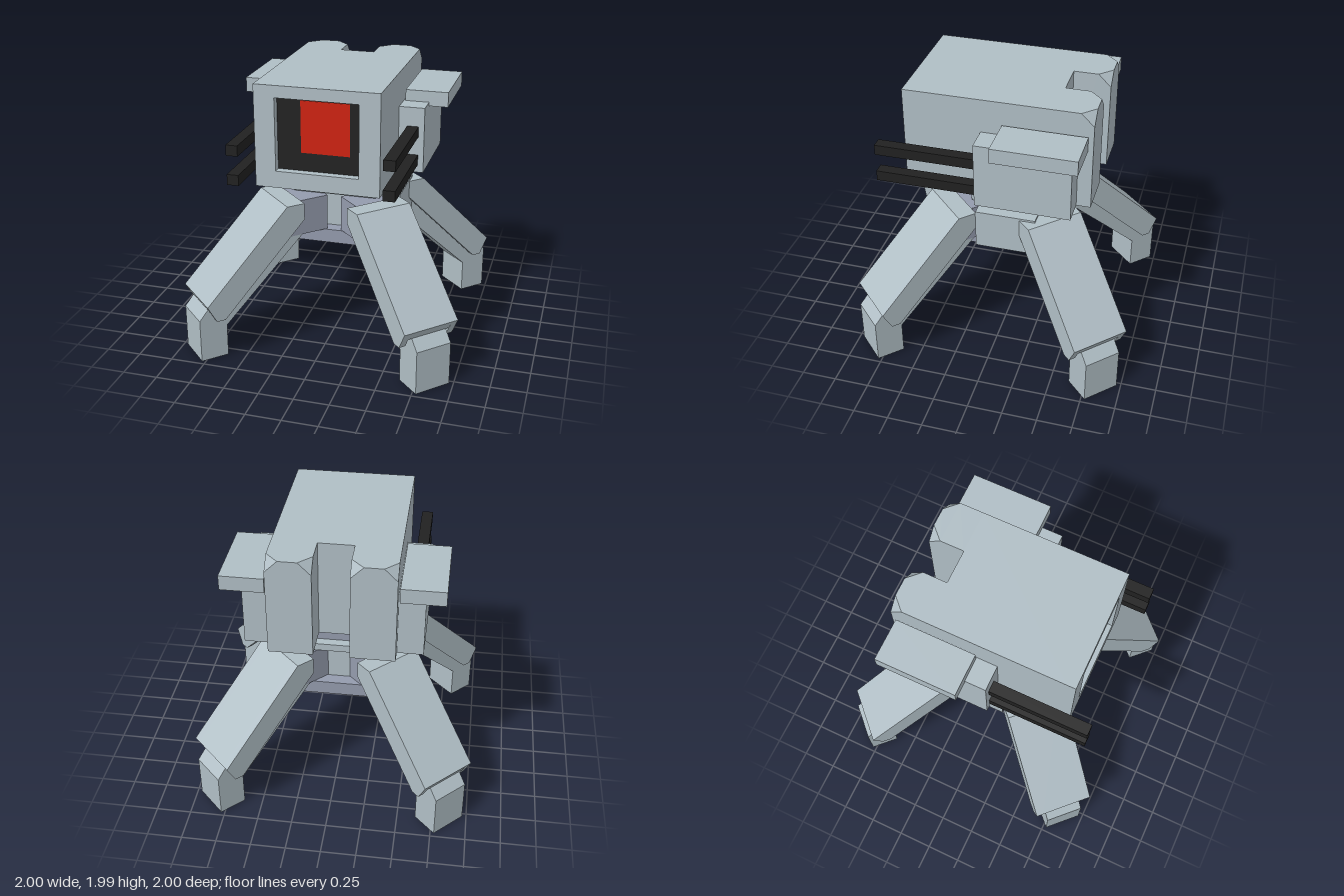
import * as THREE from 'three';
import { ConvexGeometry } from 'three/addons/geometries/ConvexGeometry.js';

const material = (name, color) => {
  const m = new THREE.MeshStandardMaterial({ color });
  m.name = name;
  return m;
};

export function createModel() {
  const armour = material('pale grey armour', 0xb0bec5);
  const joints = material('blue grey joints', 0x949bad);
  const black = material('black', 0x212121);
  const red = material('red lens', 0xd0210e);

  const model = new THREE.Group();
  model.name = 'walkerTurret';

  const add = (parent, name, geometry, mat) => {
    const mesh = new THREE.Mesh(geometry, mat);
    mesh.name = name;
    parent.add(mesh);
    return mesh;
  };

  // Box given by its lower and upper corners
  const box = (parent, name, mat, [x0, y0, z0], [x1, y1, z1]) => {
    const g = new THREE.BoxGeometry(x1 - x0, y1 - y0, z1 - z0);
    g.translate((x0 + x1) / 2, (y0 + y1) / 2, (z0 + z1) / 2);
    return add(parent, name, g, mat);
  };

  // Side profile (outward distance, height) extruded across z0..z1
  const slab = (parent, name, mat, points, z0, z1) => {
    const shape = new THREE.Shape(points.map(([x, y]) => new THREE.Vector2(x, y)));
    const g = new THREE.ExtrudeGeometry(shape, { depth: z1 - z0, bevelEnabled: false });
    g.translate(0, 0, z0);
    return add(parent, name, g, mat);
  };

  // Hub and neck
  box(model, 'hubUnderside', joints, [-0.31, 0.71, -0.365], [0.31, 0.812, 0.255]);
  box(model, 'hub', armour, [-0.465, 0.812, -0.275], [0.465, 1.1, 0.16]);
  box(model, 'hubCap', armour, [-0.305, 1.085, -0.35], [0.305, 1.14, 0.235]);
  box(model, 'neck', joints, [-0.23, 1.14, -0.285], [0.23, 1.27, 0.175]);

  // Head: main block, then a front frame around the recessed eye
  const head = new THREE.Group();
  head.name = 'head';
  model.add(head);
  const [W, Y0, Y1] = [0.435, 1.27, 1.99];
  box(head, 'headBlock', armour, [-W, Y0, -0.39], [W, Y1, 0.605]);

  const rect = (Type, x0, y0, x1, y1) => new Type([
    new THREE.Vector2(x0, y0), new THREE.Vector2(x1, y0),
    new THREE.Vector2(x1, y1), new THREE.Vector2(x0, y1),
  ]);
  const frame = rect(THREE.Shape, -W, Y0, W, Y1);
  frame.holes.push(rect(THREE.Path, -0.29, 1.39, 0.29, 1.905));
  const frameGeometry = new THREE.ExtrudeGeometry(frame, { depth: 0.06, bevelEnabled: false });
  frameGeometry.translate(0, 0, 0.605);
  add(head, 'eyeFrame', frameGeometry, armour);
  box(head, 'eyePanel', black, [-0.29, 1.39, 0.604], [0.29, 1.905, 0.608]);
  box(head, 'eyeLens', red, [-0.125, 1.52, 0.607], [0.215, 1.885, 0.612]);

  // Rear lobe with its two back top corners cut off
  const lobe = (x0, x1) => {
    const c = 0.09;
    const [front, back] = [-0.39, -0.655];
    const points = [];
    for (const [x, inward] of [[x0, c], [x1, -c]]) {
      points.push(
        [x, Y0, front], [x, Y1, front], [x, Y0, back],
        [x, Y1 - c, back], [x, Y1, back + c], [x + inward, Y1, back],
      );
    }
    return new ConvexGeometry(points.map((p) => new THREE.Vector3(...p)));
  };

  for (const [side, s] of [['left', 1], ['right', -1]]) {
    add(head, side + 'RearLobe', s > 0 ? lobe(0.125, W) : lobe(-W, -0.125), armour);

    // Gun pod with a roof plate and two barrels
    const pod = new THREE.Group();
    pod.name = side + 'GunPod';
    model.add(pod);
    const mirrored = (name, mat, a, b) => {
      const xs = [a[0] * s, b[0] * s].sort((p, q) => p - q);
      box(pod, name, mat, [xs[0], a[1], a[2]], [xs[1], b[1], b[2]]);
    };
    mirrored('podBody', armour, [W, 1.27, -0.555], [0.617, 1.745, 0.117]);
    mirrored('podRoof', armour, [0.447, 1.718, -0.62], [0.752, 1.825, -0.035]);
    for (const y of [1.325, 1.533]) {
      mirrored('barrel', black, [0.495, y, 0.1], [0.577, y + 0.075, 0.835]);
    }
  }

  // Four diagonal legs, each built along +x and turned into place
  const limb = [[1.03, 0], [1.235, 0], [1.235, 0.32], [1.175, 0.39],
    [0.56, 1.0], [0.44, 1.0], [0.41, 0.82], [1.03, 0.24]];
  const cover = [[0.435, 1.085], [0.435, 1.02], [0.55, 1.02],
    [1.168, 0.395], [1.2, 0.455], [0.57, 1.085]];
  const flange = [[0.435, 1.085], [0.435, 0.965], [1.07, 0.33],
    [1.135, 0.33], [1.2, 0.455], [0.57, 1.085]];
  const names = ['backLeftLeg', 'backRightLeg', 'frontRightLeg', 'frontLeftLeg'];
  names.forEach((name, i) => {
    const leg = new THREE.Group();
    leg.name = name;
    leg.rotation.y = Math.PI / 4 + i * Math.PI / 2;
    model.add(leg);
    box(leg, 'hipJoint', joints, [0.21, 0.815, -0.138], [0.52, 1.078, 0.138]);
    slab(leg, 'limb', armour, limb, -0.137, 0.137);
    slab(leg, 'legCover', armour, cover, -0.165, 0.165);
    slab(leg, 'coverFlange', armour, flange, -0.215, -0.165);
    slab(leg, 'coverFlange', armour, flange, 0.165, 0.215);
  });

  return model;
}
